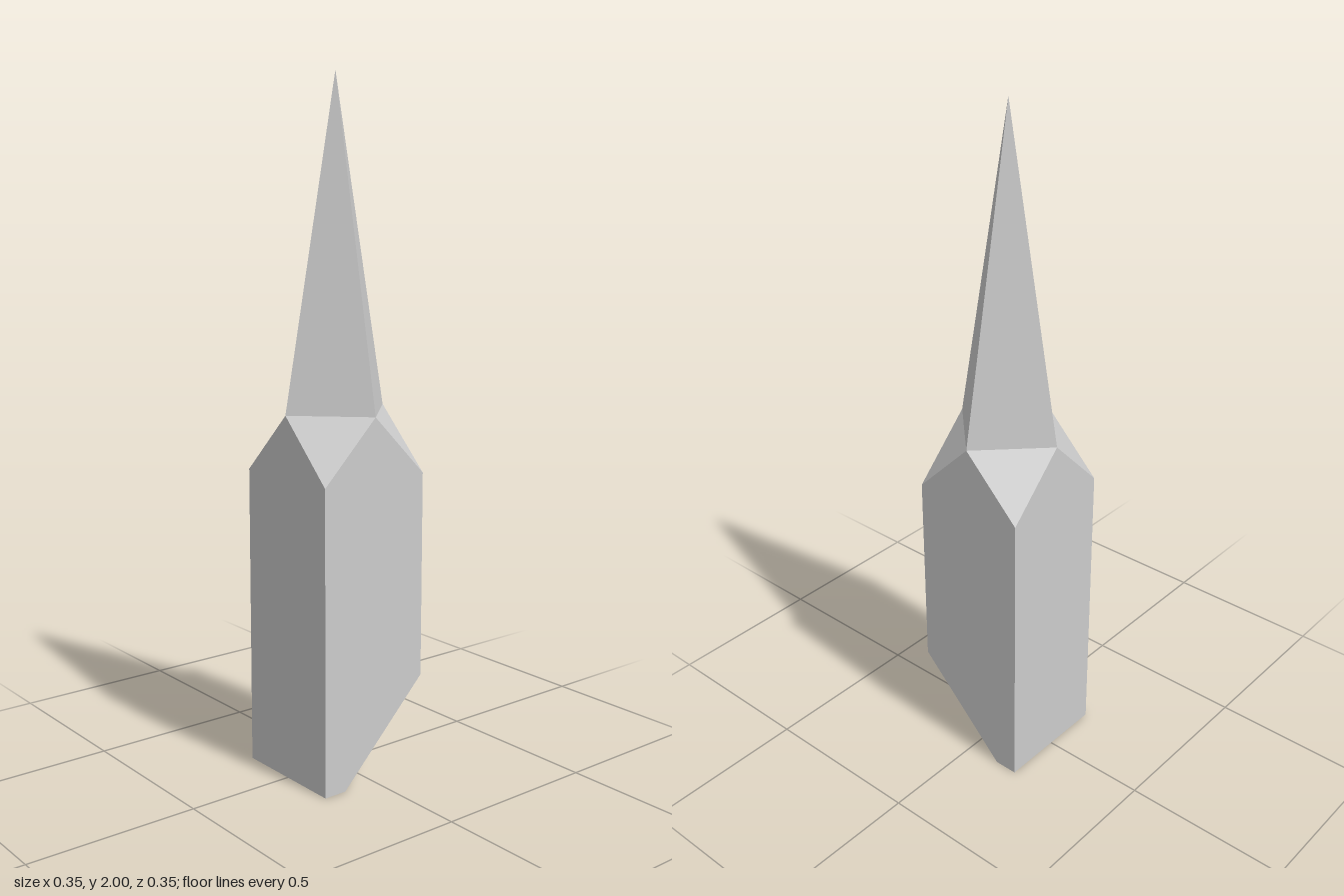
import * as THREE from 'three';
import { ConvexGeometry } from 'three/addons/geometries/ConvexGeometry.js';

const HALF = 0.177;      // half width of the square shaft
const SHOULDER = 0.885;  // height of the shaft's corner edges
const NECK = 1.062;      // height where the spire starts
const CUT = 0.283;       // size of the corner cut at the foot

export function createModel() {
  const model = new THREE.Group();
  const material = new THREE.MeshStandardMaterial({ color: 0xcccccc, flatShading: true });
  const points = [];
  const add = (x, y, z) => points.push(new THREE.Vector3(x, y, z));

  // Shaft: square, with bevelled shoulders rising to a diamond neck
  for (const sx of [-1, 1]) {
    add(sx * HALF, NECK, 0);
    add(0, NECK, sx * HALF);
    for (const sz of [-1, 1]) {
      add(sx * HALF, SHOULDER, sz * HALF);
      if (sx < 0 || sz < 0) add(sx * HALF, 0, sz * HALF);
    }
  }
  // The front left foot corner is sliced off
  add(HALF, CUT, HALF);
  add(HALF - CUT, 0, HALF);
  add(HALF, 0, HALF - CUT);
  const shaft = new THREE.Mesh(new ConvexGeometry(points), material);
  shaft.name = 'shaft';
  model.add(shaft);

  // Spire: four-sided point standing on the diamond neck
  const height = 2 - NECK;
  const spire = new THREE.Mesh(new THREE.ConeGeometry(HALF, height, 4, 1, true), material);
  spire.position.y = NECK + height / 2;
  spire.name = 'spire';
  model.add(spire);

  return model;
}
